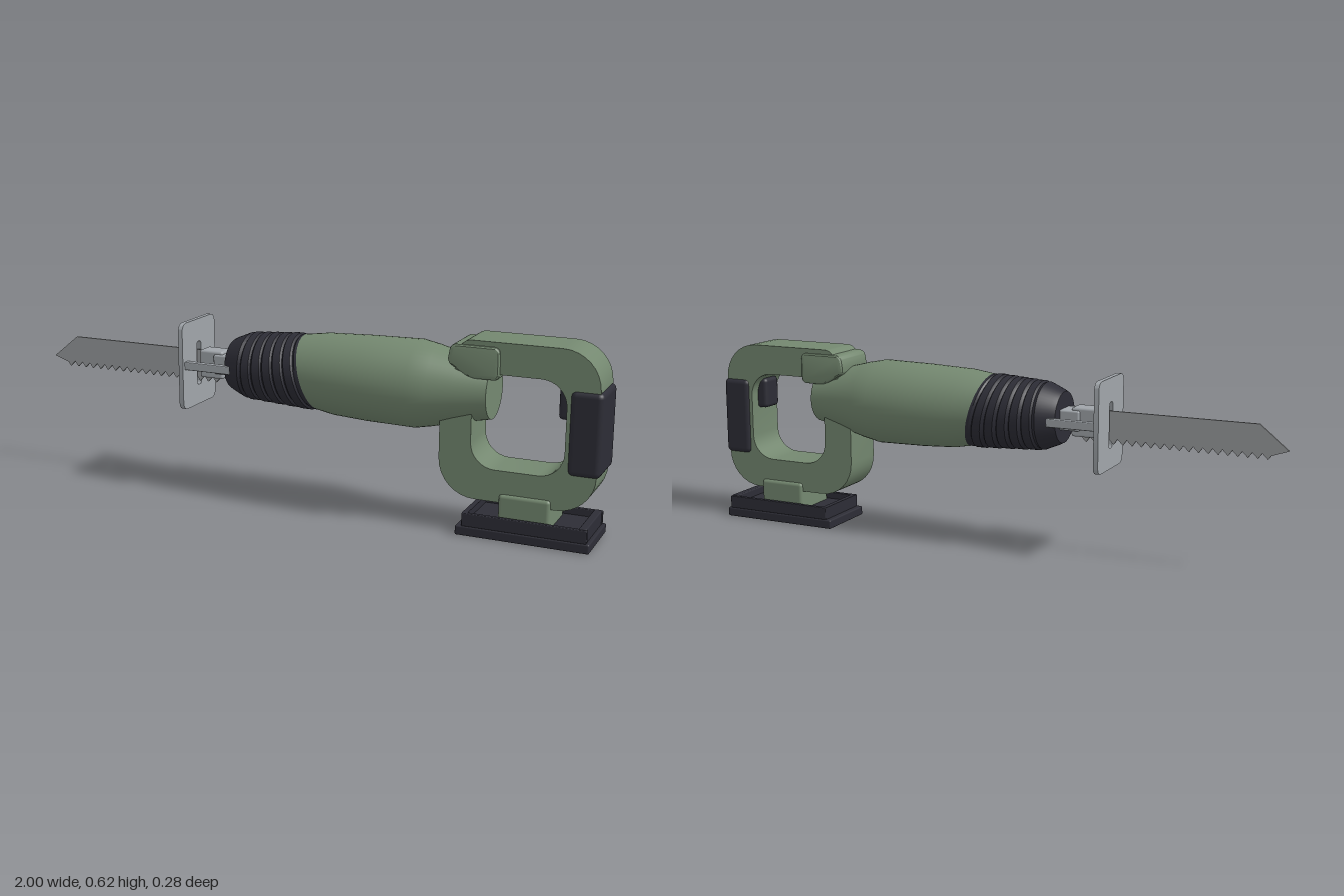
import * as THREE from 'three';
import { toCreasedNormals } from 'three/addons/utils/BufferGeometryUtils.js';
import { RoundedBoxGeometry } from 'three/addons/geometries/RoundedBoxGeometry.js';

const mat = (name, color) => Object.assign(new THREE.MeshStandardMaterial({ color }), { name });

export function createModel() {
  const green = mat('green casing', 0x748870);
  const dark = mat('dark rubber', 0x2d2d36);
  const steel = mat('bare steel', 0xa0a5aa);
  const bladeSteel = mat('blade steel', 0x9a9d9f);
  const root = new THREE.Group();
  root.name = 'reciprocatingSaw';

  const add = (name, geometry, material) => {
    const mesh = new THREE.Mesh(geometry, material);
    mesh.name = name;
    root.add(mesh);
    return mesh;
  };
  // Box given by its extents in x and y, and its half width in z
  const box = (name, material, x0, x1, y0, y1, halfZ, r = 0, z = 0) => {
    const size = [x1 - x0, y1 - y0, halfZ * 2];
    const geo = r ? new RoundedBoxGeometry(...size, 3, r) : new THREE.BoxGeometry(...size);
    return add(name, geo.translate((x0 + x1) / 2, (y0 + y1) / 2, z), material);
  };
  // Polygon of [x, y, cornerRadius] with rounded corners
  const rounded = (points, Kind = THREE.Shape) => {
    const shape = new Kind();
    const v = points.map(p => new THREE.Vector2(p[0], p[1]));
    v.forEach((p, i) => {
      const r = points[i][2] || 0;
      const toward = q => q.clone().sub(p).setLength(r).add(p);
      const a = toward(v[(i + v.length - 1) % v.length]);
      const b = toward(v[(i + 1) % v.length]);
      if (i === 0) shape.moveTo(a.x, a.y); else shape.lineTo(a.x, a.y);
      if (r) {
        const c = a.clone().lerp(p, 0.552), d = b.clone().lerp(p, 0.552);
        shape.bezierCurveTo(c.x, c.y, d.x, d.y, b.x, b.y);
      }
    });
    shape.closePath();
    return shape;
  };
  const slab = (shape, depth, bevel = 0) => new THREE.ExtrudeGeometry(shape, {
    depth: depth - 2 * bevel, curveSegments: 8, bevelEnabled: bevel > 0,
    bevelSize: bevel, bevelOffset: -bevel, bevelThickness: bevel, bevelSegments: 3,
  }).translate(0, 0, -depth / 2 + bevel);

  // Barrel parts: turned about the x axis, with a slanted seam where they meet
  const AXIS = 0.447, SEAM = 0.02;
  const turned = (profile, slant) => {
    const geo = new THREE.LatheGeometry(profile.map(([x, r]) => new THREE.Vector2(r, x)), 48);
    geo.rotateZ(-Math.PI / 2);
    const p = geo.attributes.position;
    for (let i = 0; i < p.count; i++) {
      p.setX(i, p.getX(i) - 0.27 * p.getY(i) * slant(p.getX(i)));
    }
    return toCreasedNormals(geo.translate(0, AXIS, 0), 0.4);
  };
  const clamp = THREE.MathUtils.clamp;
  add('motorHousing', turned(
    [[SEAM, 0.122], [0.09, 0.133], [0.22, 0.139], [0.39, 0.142], [0.45, 0.13], [0.53, 0.109], [0.635, 0.088], [0.635, 0]],
    x => clamp(1 - (x - SEAM) / 0.2, 0, 1)), green);

  // Ribbed rubber boot
  const boot = [[-0.27, 0], [-0.27, 0.084], [-0.255, 0.092], [-0.21, 0.111]];
  for (let i = 0; i < 5; i++) {
    const x = -0.2 + i * 0.041, r = 0.112 + i * 0.0025;
    boot.push([x, r - 0.005], [x + 0.006, r + 0.002], [x + 0.033, r + 0.002], [x + 0.038, r - 0.005]);
  }
  boot.push([SEAM - 0.01, 0.122], [SEAM, 0.122]);
  add('rubberBoot', turned(boot, x => clamp((x + 0.2) / 0.22, 0, 1)), dark);

  // D-shaped handle, open where it runs into the housing
  const handle = rounded([
    [0.485, 0.45], [0.485, 0.114, 0.12], [0.985, 0.114, 0.12], [0.985, 0.62, 0.12],
    [0.55, 0.62, 0.03], [0.53, 0.52], [0.885, 0.52, 0.08], [0.885, 0.217, 0.08],
    [0.588, 0.217, 0.08], [0.588, 0.45],
  ]);
  add('handle', toCreasedNormals(slab(handle, 0.153), 0.5), green);

  // Raised collar joining the handle to the housing
  const collar = rounded([
    [0.505, 0.545, 0.015], [0.58, 0.5, 0.02], [0.675, 0.5, 0.02], [0.675, 0.605, 0.02], [0.515, 0.605, 0.02],
  ]);
  add('handleCollar', toCreasedNormals(slab(collar, 0.172, 0.012), 0.5), green);

  box('trigger', dark, 0.85, 0.9, 0.39, 0.495, 0.04, 0.014);
  box('rearGrip', dark, 0.895, 0.997, 0.23, 0.495, 0.086, 0.018);

  // Battery foot: base slab, shallow tray and mount
  box('batteryMount', green, 0.685, 0.85, 0.04, 0.143, 0.086, 0.012);
  box('batteryBase', dark, 0.555, 0.982, 0, 0.031, 0.11, 0.005);
  box('batteryTrayFloor', dark, 0.58, 0.97, 0.025, 0.05, 0.1);
  for (const s of [-1, 1]) {
    box('batteryTraySide', dark, 0.575, 0.972, 0.03, 0.073, 0.008, 0.003, s * 0.099);
  }
  box('batteryTrayFront', dark, 0.575, 0.592, 0.03, 0.073, 0.1);
  box('batteryTrayBack', dark, 0.945, 0.97, 0.03, 0.076, 0.1, 0.004);

  // Blade clamp and shoe supports
  box('bladeClamp', steel, -0.392, -0.305, 0.393, 0.488, 0.032, 0.008);
  box('plungerShaft', steel, -0.335, -0.25, 0.412, 0.478, 0.042, 0.006);
  for (const s of [-1, 1]) {
    box('shoeSupport', steel, -0.42, -0.245, 0.43, 0.457, 0.012, 0.003, s * 0.087);
  }

  // Shoe plate with a slot for the blade
  const rect = (w, y0, y1, r) => [[-w, y0, r], [w, y0, r], [w, y1, r], [-w, y1, r]];
  const shoe = rounded(rect(0.111, 0.292, 0.588, 0.026));
  shoe.holes.push(rounded(rect(0.014, 0.36, 0.51, 0.01), THREE.Path));
  add('shoePlate', toCreasedNormals(
    slab(shoe, 0.016).rotateY(Math.PI / 2).translate(-0.42, 0, 0), 0.5), steel);

  // Toothed blade
  const blade = [[-0.305, 0.481], [-0.905, 0.481], [-1, 0.405], [-0.945, 0.386]];
  for (let i = 0; i < 20; i++) {
    const x = -0.935 + i * 0.031;
    blade.push([x, 0.373], [x + 0.018, 0.391]);
  }
  blade.push([-0.305, 0.391]);
  add('blade', slab(rounded(blade), 0.007), bladeSteel);

  return root;
}
